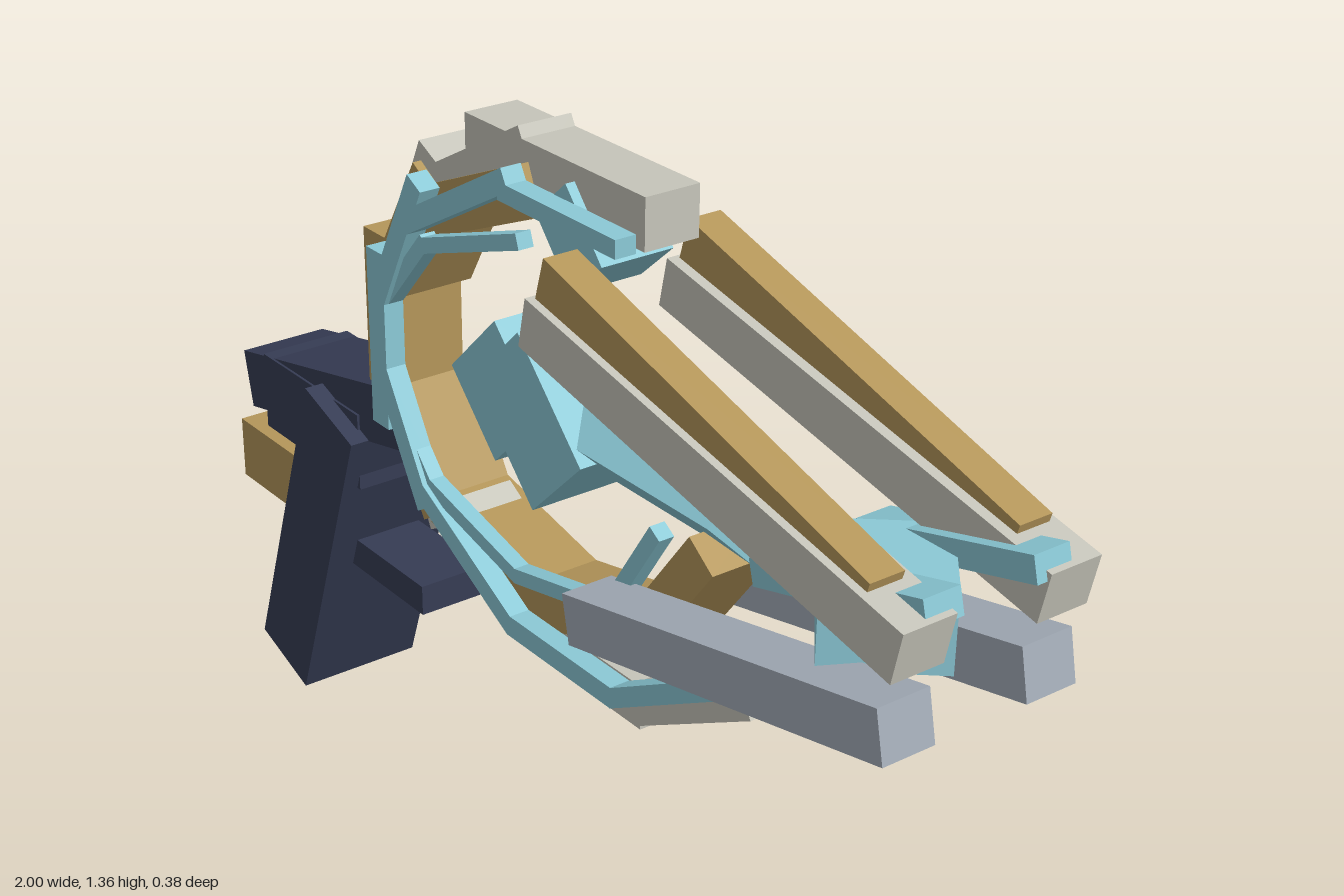
import * as THREE from 'three';

const mat = (name, color) => {
  const m = new THREE.MeshStandardMaterial({ color });
  m.name = name;
  return m;
};

export function createModel() {
  const navy = mat('navy', 0x363c54);
  const gold = mat('gold', 0xb4965a);
  const grey = mat('warm grey', 0xc6c5ba);
  const steel = mat('blue grey', 0xa4adb8);
  const cyan = mat('cyan', 0x8bc9d6);
  const model = new THREE.Group();
  model.name = 'blaster';

  // Box whose centre line runs from (x1, y1) to (x2, y2), between depths z1 and z2
  function beam(name, material, [x1, y1, x2, y2], thick, z1, z2, parent = model) {
    const len = Math.hypot(x2 - x1, y2 - y1);
    const mesh = new THREE.Mesh(new THREE.BoxGeometry(len, thick, z2 - z1), material);
    mesh.position.set((x1 + x2) / 2, (y1 + y2) / 2, (z1 + z2) / 2);
    mesh.rotation.z = Math.atan2(y2 - y1, x2 - x1);
    mesh.name = name;
    parent.add(mesh);
    return mesh;
  }
  // Same beam on both sides of the model
  function pair(name, material, line, thick, z1, z2) {
    beam(name + 'Front', material, line, thick, z1, z2);
    beam(name + 'Back', material, line, thick, -z2, -z1);
  }
  // Group of beams sharing a depth range
  function chain(name, material, z1, z2, list) {
    const g = new THREE.Group();
    g.name = name;
    list.forEach(([line, thick], i) => beam(name + 'Segment' + (i + 1), material, line, thick, z1, z2, g));
    model.add(g);
  }

  // Handle
  beam('grip', navy, [-0.84, 0.038, -0.615, 0.67], 0.17, -0.128, 0.128);
  beam('stockBar', navy, [-0.987, 0.6, -0.415, 0.725], 0.115, -0.09, 0.09);
  beam('stockBlock', navy, [-0.91, 0.605, -0.565, 0.605], 0.155, -0.095, 0.095);
  beam('trigger', navy, [-0.75, 0.355, -0.398, 0.355], 0.06, -0.07, 0.07);
  beam('rearCap', gold, [-1, 0.448, -0.72, 0.448], 0.125, -0.105, 0.105);

  // Gold inner ring
  chain('goldRing', gold, -0.07, 0.07, [
    [[-0.505, 0.69, -0.505, 1.055], 0.1],
    [[-0.465, 0.99, -0.34, 1.2], 0.1],
    [[-0.35, 1.145, -0.045, 1.275], 0.09],
    [[-0.465, 0.77, -0.34, 0.56], 0.1],
    [[-0.35, 0.58, -0.04, 0.515], 0.08],
    [[-0.055, 0.515, 0.25, 0.58], 0.075],
    [[0.228, 0.557, 0.42, 0.813], 0.075],
  ]);

  // Grey outer armour
  chain('outerArmour', grey, -0.053, 0.053, [
    [[-0.47, 1.0, -0.352, 1.243], 0.08],
    [[-0.355, 1.175, -0.07, 1.33], 0.09],
    [[-0.245, 1.305, 0.245, 1.305], 0.09],
    [[-0.47, 0.76, -0.352, 0.525], 0.08],
    [[-0.305, 0.582, -0.065, 0.44], 0.09],
    [[-0.1, 0.442, 0.25, 0.442], 0.085],
    [[0.225, 0.436, 0.515, 0.595], 0.075],
  ]);

  // Cyan trim on the front of the ring
  chain('outerTrim', cyan, 0.07, 0.11, [
    [[-0.456, 0.71, -0.456, 1.05], 0.053],
    [[-0.46, 0.945, -0.32, 1.215], 0.045],
    [[-0.36, 1.13, -0.05, 1.302], 0.04],
    [[-0.07, 1.278, 0.245, 1.278], 0.032],
    [[-0.455, 0.83, -0.32, 0.595], 0.045],
    [[-0.345, 0.632, -0.05, 0.475], 0.04],
    [[-0.06, 0.478, 0.24, 0.478], 0.04],
    [[0.23, 0.472, 0.505, 0.625], 0.035],
  ]);
  chain('innerTrim', cyan, 0.07, 0.1, [
    [[-0.44, 0.965, -0.31, 1.11], 0.03],
    [[-0.32, 1.1, -0.03, 1.2], 0.028],
    [[-0.44, 0.77, -0.32, 0.64], 0.03],
    [[-0.335, 0.645, -0.045, 0.575], 0.028],
    [[-0.055, 0.575, 0.215, 0.632], 0.028],
    [[0.205, 0.62, 0.34, 0.828], 0.03],
  ]);

  // Energy core: two tilted cubes and a diamond-section rod
  beam('rearCube', cyan, [-0.21, 0.95, -0.08, 0.816], 0.187, -0.07, 0.07);
  beam('coreCube', cyan, [-0.1, 0.975, 0.075, 0.795], 0.19, -0.1, 0.1);
  const rod = beam('coreRod', cyan, [0, 0.885, 0.46, 0.885], 0.128, -0.064, 0.064);
  rod.rotation.x = Math.PI / 4;
  beam('topCrystal', cyan, [0.022, 1.285, 0.118, 1.175], 0.11, -0.071, 0.071);

  // Muzzle crystal between the prongs
  const crystal = beam('muzzleCrystal', cyan, [0.662, 0.878, 0.862, 0.878], 0.145, -0.1, 0.1);
  crystal.rotation.y = THREE.MathUtils.degToRad(49);
  pair('muzzleRail', cyan, [0.622, 0.9, 0.985, 0.997], 0.045, 0.07, 0.14);

  // Prongs
  pair('upperProng', grey, [0.11, 1.132, 0.988, 0.945], 0.09, 0.09, 0.19);
  pair('upperProngRidge', gold, [0.137, 1.21, 0.9, 0.985], 0.08, 0.11, 0.175);
  pair('lowerProng', steel, [0.225, 0.65, 0.965, 0.808], 0.09, 0.09, 0.19);

  return model;
}
